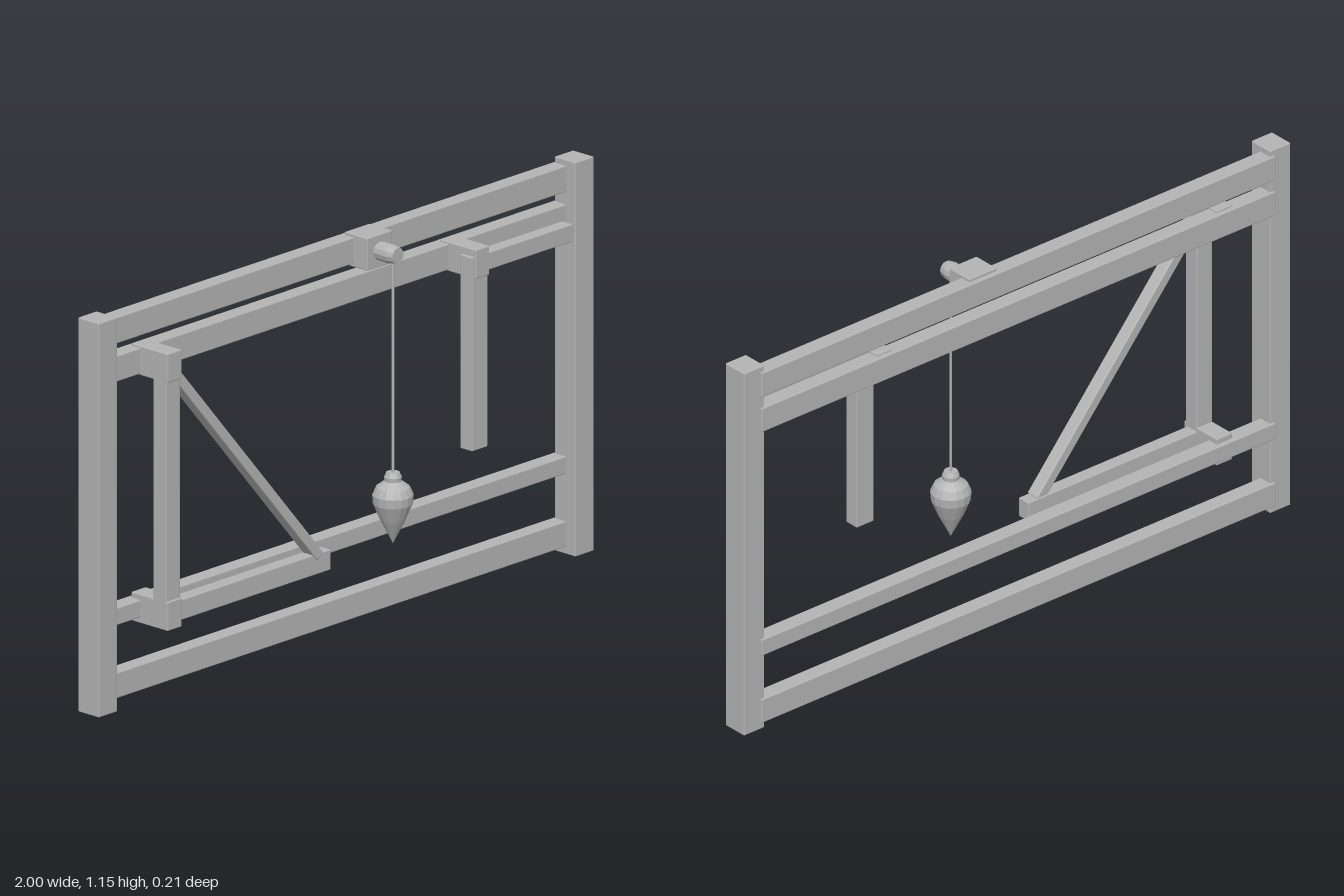
import * as THREE from 'three';
import { RoundedBoxGeometry } from 'three/addons/geometries/RoundedBoxGeometry.js';

export function createModel() {
  const model = new THREE.Group();
  model.name = 'plumbFrame';
  const grey = new THREE.MeshStandardMaterial({ color: 0xb4b4b4, flatShading: true });
  grey.name = 'plain grey';

  const add = (name, geometry, parent = model) => {
    const mesh = new THREE.Mesh(geometry, grey);
    mesh.name = name;
    parent.add(mesh);
    return mesh;
  };

  // Timber with slightly chamfered edges, given by its extents
  const beam = (name, x0, x1, y0, y1, z0, z1, parent = model) => {
    const mesh = add(name, new RoundedBoxGeometry(x1 - x0, y1 - y0, z1 - z0, 1, 0.003), parent);
    mesh.position.set((x0 + x1) / 2, (y0 + y1) / 2, (z0 + z1) / 2);
    return mesh;
  };

  // Outer frame: two posts and four rails
  const frame = new THREE.Group();
  frame.name = 'frame';
  model.add(frame);
  beam('rightPost', -1, -0.925, 0, 1.155, -0.098, -0.018, frame);
  beam('leftPost', 0.925, 1, 0, 1.155, -0.098, -0.018, frame);
  [
    ['topRail', 1.06, 1.137],
    ['upperRail', 0.948, 1.024],
    ['lowerRail', 0.235, 0.286],
    ['bottomRail', 0.021, 0.096],
  ].forEach(([name, y0, y1]) => beam(name, -0.94, 0.94, y0, y1, -0.104, -0.055, frame));

  // Braced square with its two mounting blocks
  const square = new THREE.Group();
  square.name = 'bracedSquare';
  model.add(square);
  beam('upperBlock', -0.793, -0.736, 0.944, 1.03, -0.09, 0.049, square);
  beam('lowerBlock', -0.793, -0.736, 0.218, 0.303, -0.09, 0.049, square);
  beam('upright', -0.793, -0.736, 0.23, 1.0, -0.006, 0.043, square);
  beam('foot', -0.76, -0.12, 0.231, 0.291, -0.006, 0.036, square);

  // Diagonal brace
  const from = new THREE.Vector2(-0.745, 0.957);
  const to = new THREE.Vector2(-0.165, 0.282);
  const brace = add('brace', new RoundedBoxGeometry(from.distanceTo(to), 0.031, 0.042, 1, 0.003), square);
  brace.position.set((from.x + to.x) / 2, (from.y + to.y) / 2, 0.018);
  brace.rotation.z = Math.atan2(to.y - from.y, to.x - from.x);

  // Hanging square with its mounting block
  const hanger = new THREE.Group();
  hanger.name = 'hangingSquare';
  model.add(hanger);
  beam('block', 0.452, 0.507, 0.944, 1.03, -0.09, 0.049, hanger);
  beam('blade', 0.443, 0.506, 0.44, 1.008, -0.003, 0.043, hanger);
  beam('arm', 0.49, 0.85, 0.956, 1.008, 0.003, 0.043, hanger);

  // Plumb line: block, peg, cord and bob
  const plumb = new THREE.Group();
  plumb.name = 'plumbLine';
  model.add(plumb);
  beam('pegBlock', 0.068, 0.169, 1.05, 1.146, -0.09, -0.003, plumb);

  const lathe = (name, points, sides) =>
    add(name, new THREE.LatheGeometry(points.map(([r, y]) => new THREE.Vector2(r, y)), sides), plumb);

  const peg = lathe('peg', [[0, -0.01], [0.027, -0.01], [0.028, 0.042], [0.023, 0.065], [0, 0.065]], 12);
  peg.rotation.x = Math.PI / 2;
  peg.position.set(0.12, 1.098, 0);

  const cord = add('cord', new THREE.CylinderGeometry(0.004, 0.004, 0.64, 8), plumb);
  cord.position.set(0.12, 0.775, 0.046);

  const bob = lathe('bob', [
    [0, 0.252], [0.036, 0.322], [0.056, 0.37], [0.058, 0.396],
    [0.048, 0.418], [0.024, 0.436], [0.025, 0.448], [0.019, 0.461], [0, 0.461],
  ], 16);
  bob.position.set(0.12, 0, 0.046);

  return model;
}
